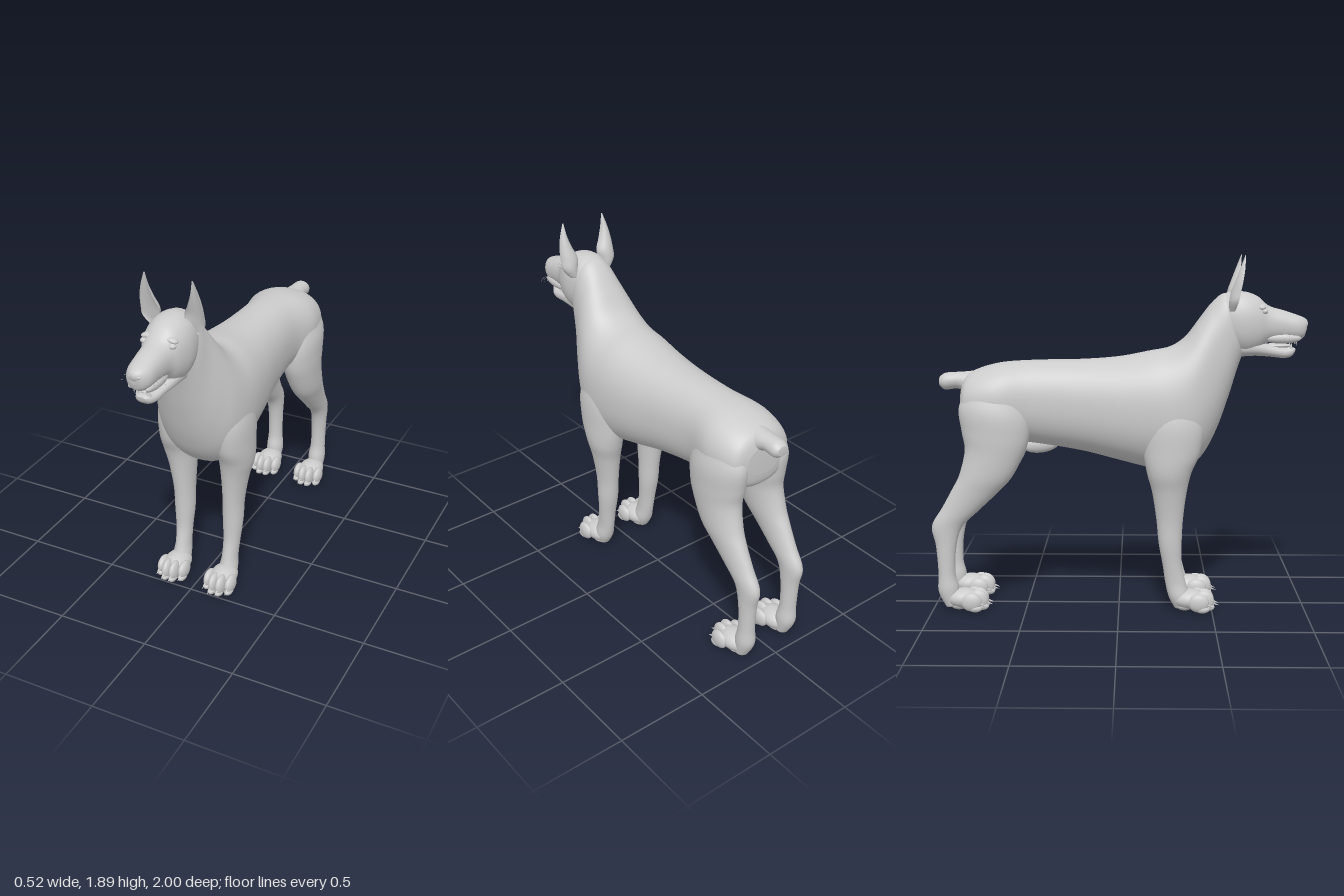
import * as THREE from 'three';

const material = new THREE.MeshStandardMaterial({ color: 0xcccccc, side: THREE.DoubleSide });

function add(parent, name, geometry) {
  const mesh = new THREE.Mesh(geometry, material);
  mesh.name = name;
  parent.add(mesh);
  return mesh;
}

// Smooth skin through sections [z1, y1, z2, y2, halfWidth, centreX]: each ring spans
// point 1 to point 2 in the side plane. power squares the ring, cup hollows the side of point 2.
function loft(sections, { side = 1, power = 2, cup = 1, steps = 6, around = 36 } = {}) {
  const pos = [], index = [], n = sections.length;
  const at = (i, k) => sections[Math.min(n - 1, Math.max(0, i))][k] ?? 0;
  const rings = (n - 1) * steps + 1;
  const mids = [];
  const bend = (v) => Math.sign(v) * Math.abs(v) ** (2 / power);
  for (let r = 0; r < rings; r++) {
    const i = Math.min(n - 2, Math.floor(r / steps)), t = r / steps - i;
    const [z1, y1, z2, y2, w, cx] = [0, 1, 2, 3, 4, 5].map((k) => {
      const a = at(i - 1, k), b = at(i, k), c = at(i + 1, k), d = at(i + 2, k);
      return b + 0.5 * t * (c - a + t * (2 * a - 5 * b + 4 * c - d + t * (3 * (b - c) + d - a)));
    });
    const my = (y1 + y2) / 2, mz = (z1 + z2) / 2;
    mids.push([cx * side, my, mz]);
    for (let j = 0; j < around; j++) {
      const a = (j / around) * Math.PI * 2;
      let s = bend(Math.sin(a));
      if (s < 0) s *= cup;
      pos.push(cx * side + bend(Math.cos(a)) * w, my + s * (y1 - y2) / 2, mz + s * (z1 - z2) / 2);
    }
  }
  for (let r = 0; r < rings - 1; r++) {
    for (let j = 0; j < around; j++) {
      const a = r * around + j, b = r * around + (j + 1) % around;
      index.push(a, b, a + around, b, b + around, a + around);
    }
  }
  // End caps
  pos.push(...mids[0], ...mids[rings - 1]);
  const first = rings * around, end = (rings - 1) * around;
  for (let j = 0; j < around; j++) {
    const k = (j + 1) % around;
    index.push(first, k, j, first + 1, end + j, end + k);
  }
  const g = new THREE.BufferGeometry();
  g.setAttribute('position', new THREE.Float32BufferAttribute(pos, 3));
  g.setIndex(index);
  g.computeVertexNormals();
  return g;
}

function blob(parent, name, [x, y, z], [rx, ry, rz]) {
  const mesh = add(parent, name, new THREE.SphereGeometry(1, 24, 16));
  mesh.position.set(x, y, z);
  mesh.scale.set(rx, ry, rz);
  return mesh;
}

// Paw with four toes and claws; z is the ankle position
function paw(parent, name, x, z) {
  const g = new THREE.Group();
  g.name = name;
  g.position.set(x, 0, z);
  blob(g, 'pawBody', [0, 0.062, 0.035], [0.072, 0.054, 0.095]);
  blob(g, 'heelPad', [0, 0.028, 0.01], [0.05, 0.028, 0.05]);
  for (const k of [-1.5, -0.5, 0.5, 1.5]) {
    const outer = Math.abs(k) > 1, tz = outer ? 0.092 : 0.122;
    blob(g, 'toe', [k * 0.042, 0.055, tz - 0.01], [0.026, outer ? 0.05 : 0.058, 0.055]);
    blob(g, 'toePad', [k * 0.042, 0.022, tz + 0.01], [0.022, 0.022, 0.038]);
    const claw = add(g, 'claw', new THREE.ConeGeometry(0.01, 0.05, 10));
    claw.position.set(k * 0.044, 0.04, tz + 0.05);
    claw.rotation.x = 1.9;
  }
  parent.add(g);
}

const TORSO = [
  [-0.84, 1.19, -0.84, 1.04, 0.10], [-0.8, 1.265, -0.81, 0.96, 0.18], [-0.65, 1.318, -0.65, 0.91, 0.215],
  [-0.45, 1.335, -0.45, 0.89, 0.178], [-0.2, 1.34, -0.2, 0.85, 0.195], [0, 1.355, 0, 0.80, 0.225],
  [0.16, 1.385, 0.18, 0.755, 0.245], [0.27, 1.408, 0.33, 0.735, 0.245], [0.35, 1.46, 0.44, 0.82, 0.225],
  [0.42, 1.55, 0.52, 0.965, 0.185], [0.48, 1.63, 0.585, 1.15, 0.145], [0.54, 1.685, 0.63, 1.30, 0.123],
  [0.59, 1.69, 0.66, 1.38, 0.105],
];
const HEAD = [
  [0.49, 1.62, 0.52, 1.45, 0.07], [0.56, 1.69, 0.58, 1.39, 0.112], [0.65, 1.70, 0.66, 1.365, 0.124],
  [0.73, 1.675, 0.73, 1.385, 0.108], [0.79, 1.625, 0.79, 1.43, 0.083], [0.87, 1.6, 0.87, 1.44, 0.073],
  [0.94, 1.577, 0.94, 1.442, 0.066], [0.98, 1.56, 0.975, 1.455, 0.046], [0.995, 1.54, 0.99, 1.49, 0.022],
];
const JAW = [
  [0.64, 1.46, 0.64, 1.355, 0.085], [0.72, 1.445, 0.72, 1.36, 0.08], [0.8, 1.42, 0.8, 1.355, 0.064],
  [0.87, 1.405, 0.87, 1.348, 0.054], [0.915, 1.405, 0.91, 1.355, 0.042], [0.935, 1.398, 0.93, 1.375, 0.02],
];
const TAIL = [
  [-0.7, 1.15, -0.7, 1.29, 0.05], [-0.8, 1.15, -0.8, 1.275, 0.062], [-0.86, 1.18, -0.87, 1.27, 0.05],
  [-0.93, 1.175, -0.93, 1.265, 0.048], [-0.96, 1.195, -0.96, 1.245, 0.032],
];
const EAR = [
  [0.575, 1.6, 0.63, 1.6, 0.025, 0.105], [0.572, 1.65, 0.665, 1.65, 0.045, 0.12], [0.58, 1.70, 0.678, 1.70, 0.05, 0.117],
  [0.602, 1.76, 0.68, 1.76, 0.036, 0.127], [0.625, 1.82, 0.675, 1.82, 0.02, 0.131], [0.652, 1.89, 0.658, 1.89, 0.003, 0.126],
];
const FORELEG = [
  [0.36, 1.2, 0.18, 1.2, 0.05, 0.15], [0.44, 1.03, 0.13, 1.02, 0.088, 0.163], [0.43, 0.87, 0.13, 0.87, 0.095, 0.164],
  [0.385, 0.76, 0.15, 0.75, 0.09, 0.165], [0.36, 0.65, 0.177, 0.65, 0.073, 0.156], [0.342, 0.5, 0.2, 0.5, 0.058, 0.148],
  [0.336, 0.37, 0.213, 0.37, 0.055, 0.146], [0.338, 0.25, 0.235, 0.25, 0.046, 0.145], [0.36, 0.15, 0.25, 0.15, 0.043, 0.143],
  [0.38, 0.08, 0.27, 0.07, 0.05, 0.143], [0.37, 0.02, 0.3, 0.015, 0.035, 0.143],
];
const HINDLEG = [
  [-0.54, 1.22, -0.78, 1.22, 0.05, 0.13], [-0.475, 1.05, -0.842, 1.1, 0.1, 0.13], [-0.475, 0.93, -0.83, 0.97, 0.103, 0.132],
  [-0.51, 0.83, -0.815, 0.87, 0.093, 0.138], [-0.57, 0.72, -0.845, 0.74, 0.08, 0.145], [-0.65, 0.635, -0.885, 0.66, 0.065, 0.147],
  [-0.75, 0.54, -0.94, 0.56, 0.053, 0.147], [-0.835, 0.455, -0.997, 0.46, 0.046, 0.147], [-0.87, 0.34, -0.978, 0.35, 0.043, 0.146],
  [-0.877, 0.2, -0.968, 0.2, 0.043, 0.145], [-0.86, 0.12, -0.97, 0.1, 0.05, 0.143], [-0.86, 0.03, -0.93, 0.015, 0.04, 0.143],
];

export function createModel() {
  const dog = new THREE.Group();
  dog.name = 'dog';
  add(dog, 'torsoAndNeck', loft(TORSO, { power: 2.25, around: 56 }));
  add(dog, 'tail', loft(TAIL));
  blob(dog, 'sheath', [0, 0.878, -0.42], [0.032, 0.045, 0.1]).rotation.x = -0.15;

  // Head, mouth and nose
  const head = new THREE.Group();
  head.name = 'head';
  dog.add(head);
  add(head, 'skullAndMuzzle', loft(HEAD, { power: 2.2 }));
  add(head, 'lowerJaw', loft(JAW, { power: 2.4 }));
  blob(head, 'tongue', [0, 1.413, 0.83], [0.038, 0.013, 0.085]);
  blob(head, 'nose', [0, 1.53, 0.966], [0.04, 0.033, 0.034]);

  for (const side of [1, -1]) {
    const label = side > 0 ? 'left' : 'right';
    add(head, label + 'Ear', loft(EAR, { side, cup: -0.35 }));
    blob(head, label + 'Eye', [side * 0.074, 1.598, 0.762], [0.02, 0.015, 0.018]);
    blob(head, label + 'Brow', [side * 0.066, 1.622, 0.748], [0.032, 0.014, 0.022]).rotation.z = side * -0.25;
    blob(head, label + 'Nostril', [side * 0.022, 1.528, 0.983], [0.012, 0.01, 0.012]);
    blob(head, label + 'Lip', [side * 0.045, 1.455, 0.86], [0.027, 0.028, 0.1]);
    // Fangs, upper then lower
    for (const [y, z, turn] of [[1.432, 0.935, Math.PI], [1.415, 0.91, 0]]) {
      const fang = add(head, label + 'Fang', new THREE.ConeGeometry(0.008, 0.035, 10));
      fang.position.set(side * 0.034, y, z);
      fang.rotation.x = turn;
    }
    // Whiskers
    for (const k of [0, 1, 2]) {
      const z = 0.87 + k * 0.03, y = 1.5 - k * 0.012;
      const path = new THREE.QuadraticBezierCurve3(new THREE.Vector3(side * 0.06, y, z),
        new THREE.Vector3(side * 0.09, y, z + 0.01), new THREE.Vector3(side * 0.115, y - 0.02, z - 0.01));
      add(head, label + 'Whisker', new THREE.TubeGeometry(path, 6, 0.0008, 4));
    }
    add(dog, label + 'Foreleg', loft(FORELEG, { side }));
    add(dog, label + 'Hindleg', loft(HINDLEG, { side }));
    paw(dog, label + 'ForePaw', side * 0.142, 0.345);
    paw(dog, label + 'HindPaw', side * 0.142, -0.868);
  }
  return dog;
}
